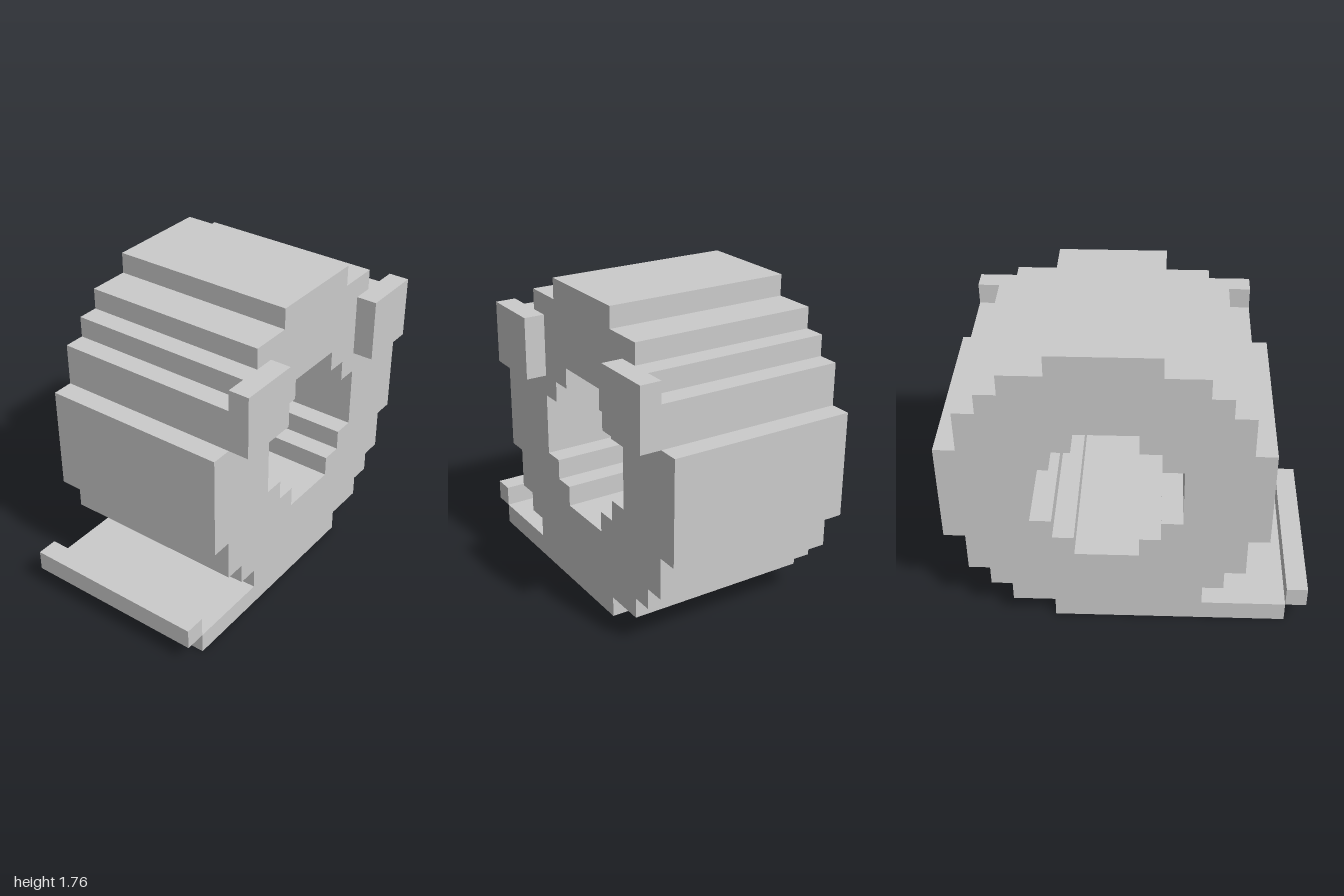
import * as THREE from 'three';

const U = 2 / 17;               // one block
const CX = 9.5 * U - 1;         // roll axis in x
const BACK = -5 * U, FRONT = 4 * U;

const material = new THREE.MeshStandardMaterial({ color: 0xcccccc, flatShading: true });

// Stepped ring outline from rows [half width, bottom, top] in blocks
function steppedOutline(rows, target) {
  const right = rows.flatMap(([w, y0, y1]) => [[w, y0], [w, y1]]);
  const left = right.map(([w, y]) => [-w, y]).reverse();
  target.setFromPoints([...right, ...left].map(([x, y]) => new THREE.Vector2(CX + x * U, y * U)));
  return target;
}

// Box given by its block limits
function addBox(group, name, x0, x1, y0, y1, z0, z1) {
  const geometry = new THREE.BoxGeometry((x1 - x0) * U, (y1 - y0) * U, (z1 - z0) * U);
  const mesh = new THREE.Mesh(geometry, material);
  mesh.name = name;
  mesh.position.set(((x0 + x1) / 2) * U - 1, ((y0 + y1) / 2) * U, ((z0 + z1) / 2) * U);
  group.add(mesh);
}

export function createModel() {
  const group = new THREE.Group();
  group.name = 'blockRoll';

  // Hollow roll with stepped outside and stepped bore
  const outline = steppedOutline([
    [2.5, 0, 1], [4.5, 1, 2], [5.5, 2, 3], [6.5, 3, 5], [7.5, 5, 10],
    [6.5, 10, 12], [5.5, 12, 13], [4.5, 13, 14], [2.5, 14, 15],
  ], new THREE.Shape());
  outline.holes.push(steppedOutline([
    [1.5, 4, 5], [2.5, 5, 6], [3.5, 6, 9], [2.5, 9, 10], [1.5, 10, 11],
  ], new THREE.Path()));
  const roll = new THREE.Mesh(
    new THREE.ExtrudeGeometry(outline, { depth: FRONT - BACK, bevelEnabled: false }), material);
  roll.name = 'roll';
  roll.position.z = BACK;
  group.add(roll);

  // Loose sheet at the bottom with its raised end
  addBox(group, 'sheet', 1, 7, 0, 1, -5, 4);
  addBox(group, 'sheetLip', 0, 1, 1, 2, -5, 4);

  // Eyes on the front
  addBox(group, 'rightEye', 3, 6, 10, 13, 4, 5);
  addBox(group, 'leftEye', 13, 16, 10, 13, 4, 5);

  return group;
}
